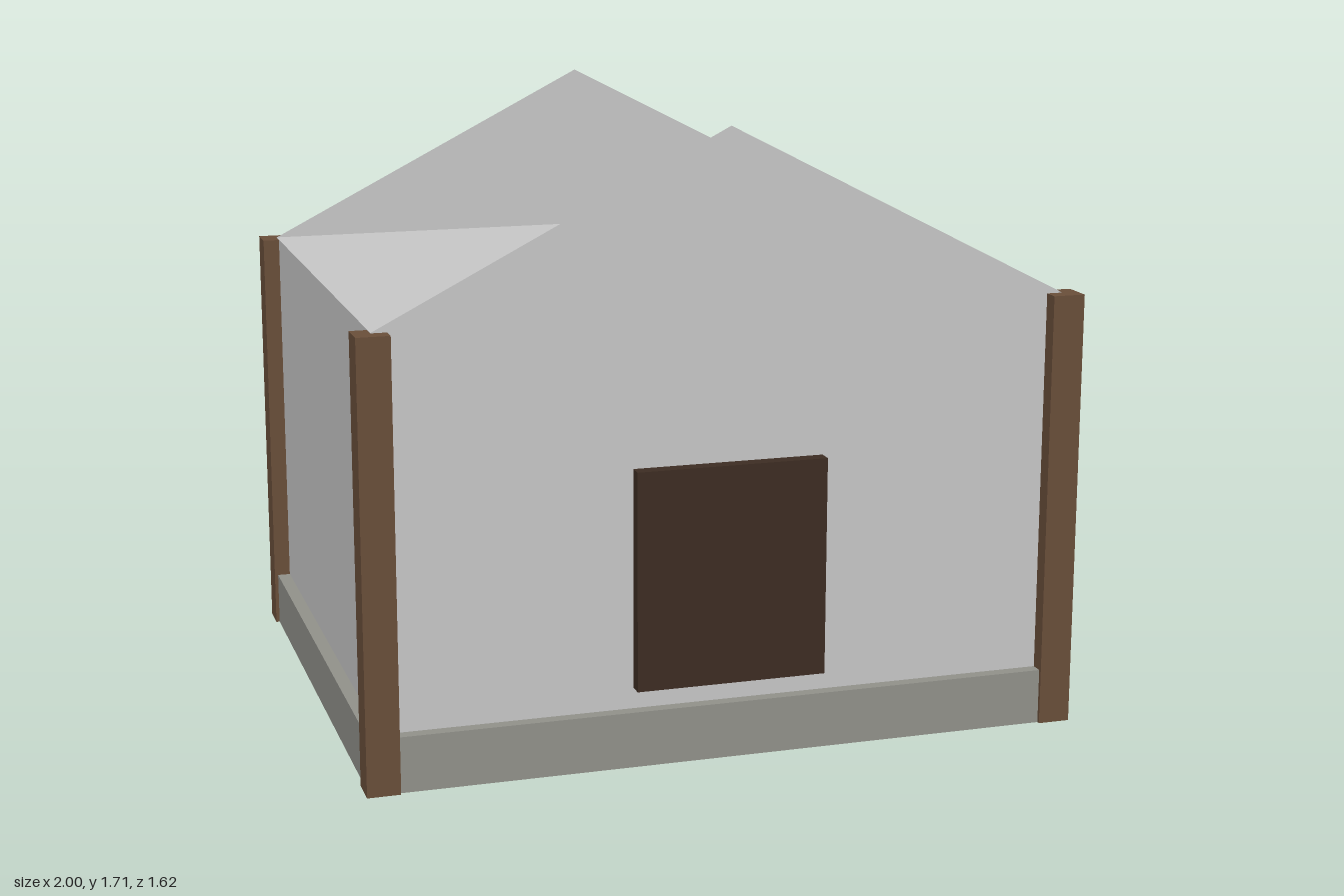
import * as THREE from 'three';

function material(name, color, side = THREE.FrontSide) {
  const m = new THREE.MeshStandardMaterial({ color, side });
  m.name = name;
  return m;
}

export function createModel() {
  const group = new THREE.Group();
  group.name = 'house';

  const plaster = material('pale plaster', 0xc8c8c8, THREE.DoubleSide);
  const stone = material('grey stone', 0x92928b);
  const timber = material('brown timber', 0x6a4f3a);
  const darkWood = material('dark wood', 0x3d2d23);

  // Box spanning y0..y1, centred on x and z
  function box(name, mat, w, y0, y1, d, x = 0, z = 0) {
    const mesh = new THREE.Mesh(new THREE.BoxGeometry(w, y1 - y0, d), mat);
    mesh.name = name;
    mesh.position.set(x, (y0 + y1) / 2, z);
    group.add(mesh);
  }

  const wallX = 0.953, wallZ = 0.765, eaves = 1.222, ridge = 1.71;

  // Walls and the foundation plinth around them
  box('walls', plaster, wallX * 2, 0, eaves, wallZ * 2);
  box('foundation', stone, 1.98, 0.001, 0.155, 1.6);

  // Corner posts
  for (const sx of [-1, 1]) {
    for (const sz of [-1, 1]) {
      box('cornerPost', timber, 0.09, 0.001, eaves - 0.001, 0.09, sx * 0.955, sz * 0.765);
    }
  }

  // Thin triangular gables standing on the front and back walls
  const triangle = new THREE.Shape([
    new THREE.Vector2(-wallX, eaves),
    new THREE.Vector2(wallX, eaves),
    new THREE.Vector2(0, ridge),
  ]);
  const gableGeometry = new THREE.ShapeGeometry(triangle);
  for (const side of [1, -1]) {
    const gable = new THREE.Mesh(gableGeometry, plaster);
    gable.name = side > 0 ? 'frontGable' : 'backGable';
    gable.position.z = side * wallZ;
    if (side < 0) gable.rotation.y = Math.PI;
    group.add(gable);
  }

  // Door panel
  box('door', darkWood, 0.53, 0.213, 0.817, 0.05, 0, 0.78);

  return group;
}
